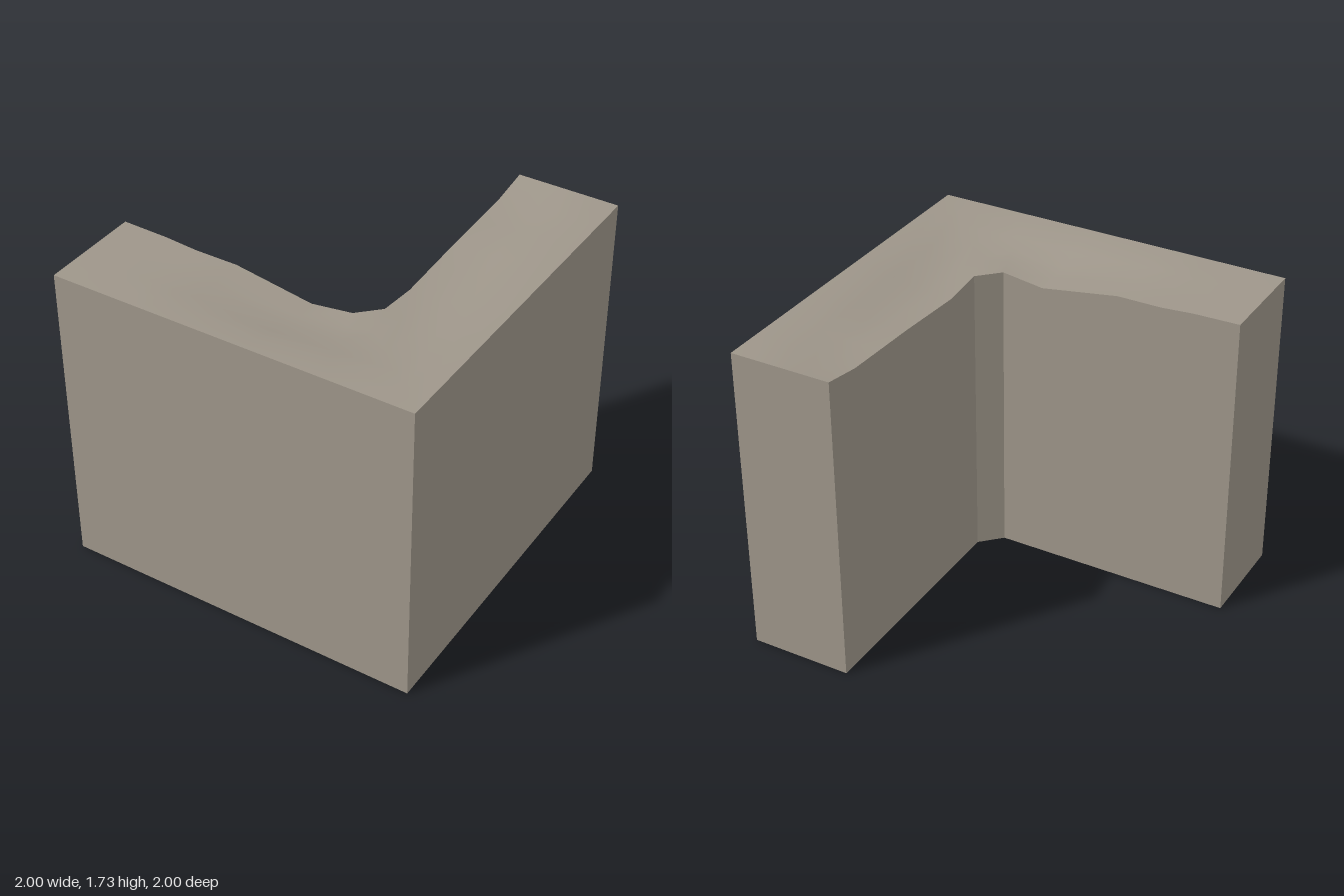
import * as THREE from 'three';

const HEIGHT = 1.73;

// Stations along one arm, from the free end to the corner:
// [inner x, outer x, sag of the inner edge]
const westArm = [
  [-1, -1, 0], [-0.75, -0.75, 0.005], [-0.57, -0.57, 0.018],
  [-0.33, -0.33, 0.018], [0.1, 0.1, 0.085], [0.33, 0.52, 0.053],
];
const northArm = [
  [-1, -1, 0], [-0.78, -0.78, 0.035], [-0.57, -0.57, 0.043],
  [-0.33, -0.33, 0.052], [0.1, 0.1, 0.078], [0.33, 0.52, 0.053],
];

// Each station joins a point on the inner edge to one on the outer edge
const stations = [
  ...westArm.map(([i, o, d]) => ({ inner: [i, 0.44], outer: [o, 1], sag: d })),
  { inner: [0.385, 0.385], outer: [1, 1], sag: 0.053 },
  ...[...northArm].reverse().map(([i, o, d]) => ({ inner: [0.44, i], outer: [1, o], sag: d })),
];

// Share of the sag across the wall thickness, inner to outer
const across = [1, 1, 0.85, 0.45, 0.12, 0];

function topPoint(s, j) {
  const t = j / (across.length - 1);
  return [
    THREE.MathUtils.lerp(s.inner[0], s.outer[0], t),
    HEIGHT - s.sag * across[j],
    THREE.MathUtils.lerp(s.inner[1], s.outer[1], t),
  ];
}

// Gently sunken top, smooth shaded
function topGeometry() {
  const n = across.length;
  const pos = [], index = [];
  stations.forEach((s, i) => {
    for (let j = 0; j < n; j++) {
      pos.push(...topPoint(s, j));
      if (i < stations.length - 1 && j < n - 1) {
        const a = i * n + j;
        index.push(a, a + 1, a + n, a + 1, a + n + 1, a + n);
      }
    }
  });
  const g = new THREE.BufferGeometry();
  g.setAttribute('position', new THREE.Float32BufferAttribute(pos, 3));
  g.setIndex(index);
  g.computeVertexNormals();
  return g;
}

// Vertical faces under a run of top points, open underneath
function wallGeometry(run) {
  const pos = [];
  for (let i = 0; i < run.length - 1; i++) {
    const a = run[i], b = run[i + 1];
    const a0 = [a[0], 0, a[2]], b0 = [b[0], 0, b[2]];
    pos.push(...a0, ...b0, ...b, ...a0, ...b, ...a);
  }
  const g = new THREE.BufferGeometry();
  g.setAttribute('position', new THREE.Float32BufferAttribute(pos, 3));
  g.computeVertexNormals();
  return g;
}

export function createModel() {
  const group = new THREE.Group();
  group.name = 'cornerWall';
  const stone = new THREE.MeshStandardMaterial({ color: 0x9e968a, side: THREE.DoubleSide });
  stone.name = 'stone';

  const add = (name, geometry) => {
    const mesh = new THREE.Mesh(geometry, stone);
    mesh.name = name;
    group.add(mesh);
  };

  const last = across.length - 1;
  const outer = stations.map((s) => topPoint(s, last));
  const inner = stations.map((s) => topPoint(s, 0)).reverse();

  add('wornTop', topGeometry());
  add('outerWalls', wallGeometry(outer));
  add('innerWalls', wallGeometry(inner));
  add('backEnd', wallGeometry([outer[outer.length - 1], inner[0]]));
  add('sideEnd', wallGeometry([inner[inner.length - 1], outer[0]]));
  return group;
}
